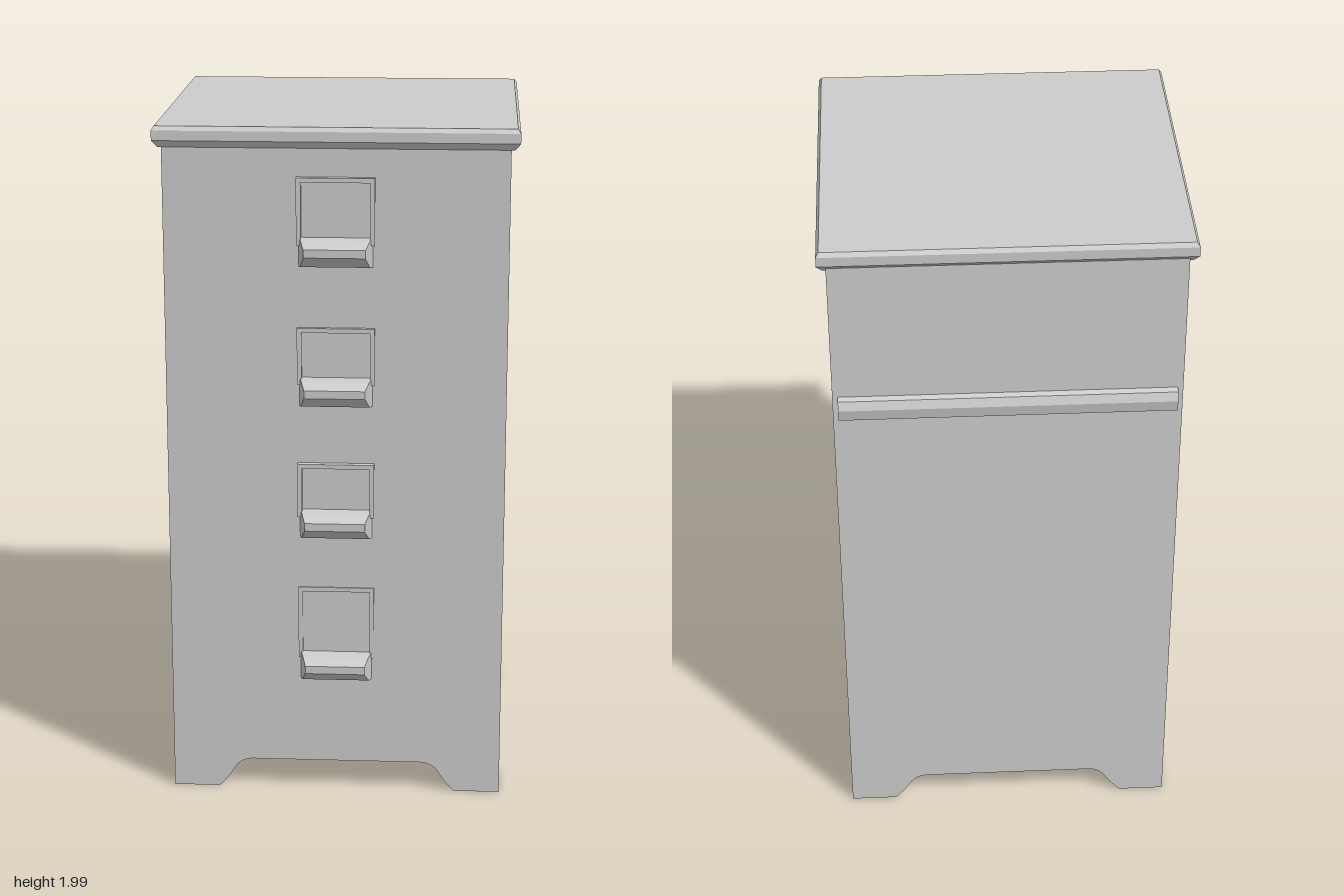
import * as THREE from 'three';

const W = 0.485, FRONT = 0.465, TOP = 1.94, WALL = 0.03;
// The back face leans out slightly towards the floor
const backZ = (y) => -0.535 + 0.045 * (y / TOP);

function shapeOf(points) {
  return new THREE.Shape(points.map(([x, y]) => new THREE.Vector2(x, y)));
}

function extrude(shape, depth) {
  return new THREE.ExtrudeGeometry(shape, { depth, bevelEnabled: false, curveSegments: 6 });
}

// Wall outline with a bracket-foot cutout along the bottom edge
function wallShape(b0, b1, t0, t1, foot) {
  const s = new THREE.Shape();
  s.moveTo(b0, 0);
  s.lineTo(b0 + foot, 0);
  s.quadraticCurveTo(b0 + foot + 0.03, 0.03, b0 + foot + 0.05, 0.065);
  s.quadraticCurveTo(b0 + foot + 0.07, 0.09, b0 + foot + 0.1, 0.09);
  s.lineTo(b1 - foot - 0.1, 0.09);
  s.quadraticCurveTo(b1 - foot - 0.07, 0.09, b1 - foot - 0.05, 0.065);
  s.quadraticCurveTo(b1 - foot - 0.03, 0.03, b1 - foot, 0);
  s.lineTo(b1, 0);
  s.lineTo(t1, TOP);
  s.lineTo(t0, TOP);
  s.closePath();
  return s;
}

export function createModel() {
  const model = new THREE.Group();
  model.name = 'filingCabinet';
  const grey = new THREE.MeshStandardMaterial({ color: 0xcccccc });
  grey.name = 'grey metal';

  const add = (name, geometry, parent = model) => {
    const mesh = new THREE.Mesh(geometry, grey);
    mesh.name = name;
    parent.add(mesh);
  };
  const box = (name, w, h, d, x, y, z) =>
    add(name, new THREE.BoxGeometry(w, h, d).translate(x, y, z));

  // Front wall
  add('frontWall', extrude(wallShape(-W, W, -W, W, 0.135), WALL).translate(0, 0, FRONT - WALL));

  // Back wall, sheared to follow the lean
  const back = extrude(wallShape(-W, W, -W, W, 0.135), WALL);
  const p = back.attributes.position;
  for (let i = 0; i < p.count; i++) p.setZ(i, p.getZ(i) + backZ(p.getY(i)));
  back.computeVertexNormals();
  add('backWall', back);

  // Side walls, each with a shallow recessed panel
  for (const [side, sx] of [['left', 1], ['right', -1]]) {
    const frame = wallShape(backZ(0), FRONT, backZ(TOP), FRONT, 0.135);
    frame.holes.push(new THREE.Path(
      [[-0.395, 0.29], [-0.38, 1.76], [0.325, 1.77], [0.315, 0.29]].map(([z, y]) => new THREE.Vector2(z, y))));
    add(side + 'Wall', extrude(frame, WALL).rotateY(-Math.PI / 2)
      .translate(sx > 0 ? W : -W + WALL, 0, 0));
    box(side + 'Panel', 0.015, 1.52, 0.76, sx * (W - 0.0185), 1.03, -0.035);
  }

  // Floor plate set well up inside the skirt
  box('floor', 2 * W - 0.04, 0.02, 0.95, 0, 0.235, -0.03);

  // Lid: overhanging slab with slanted lower lip and eased top edge
  const lidLayer = (y0, y1, in0, in1) => {
    const g = new THREE.BoxGeometry(1.02, y1 - y0, 0.98).translate(0, (y0 + y1) / 2, -0.007);
    const q = g.attributes.position;
    for (let i = 0; i < q.count; i++) {
      const inset = q.getY(i) > (y0 + y1) / 2 ? in1 : in0;
      q.setX(i, q.getX(i) - Math.sign(q.getX(i)) * inset);
      q.setZ(i, q.getZ(i) - Math.sign(q.getZ(i)) * inset);
    }
    g.computeVertexNormals();
    return g;
  };
  add('lidLip', lidLayer(1.93, 1.95, 0.015, 0));
  add('lidSlab', lidLayer(1.95, 1.978, 0, 0));
  add('lidTop', lidLayer(1.978, 1.99, 0, 0.008));

  // Rail across the back
  const railY = 1.49;
  const rail = shapeOf([[0.01, -0.04], [0.01, 0.04], [-0.014, 0.03], [-0.024, 0.005], [-0.018, -0.03]]);
  add('backRail', extrude(rail, 0.94).rotateY(-Math.PI / 2).translate(0.47, railY, backZ(railY)));

  // Four drawer fittings: label holder above a cup pull (pull height, holder top, holder depth)
  const fittings = [[1.64, 1.85, 0.02], [1.235, 1.42, 0.014], [0.84, 1.02, 0.02], [0.4, 0.64, 0.006]];
  fittings.forEach(([y, labelTop, depth], i) => {
    const g = new THREE.Group();
    g.name = 'drawerFitting' + (i + 1);
    model.add(g);

    const low = y + 0.02;
    const holder = shapeOf([[-0.11, low], [0.11, low], [0.11, labelTop], [-0.11, labelTop]]);
    holder.holes.push(new THREE.Path(
      [[-0.097, low + 0.015], [-0.097, labelTop - 0.013], [0.097, labelTop - 0.013], [0.097, low + 0.015]]
        .map(([a, b]) => new THREE.Vector2(a, b))));
    add('labelHolder', extrude(holder, depth).translate(0, 0, FRONT - 0.002), g);

    // Pull narrows towards its outer lip
    const pull = extrude(shapeOf([[0, -0.045], [0.03, -0.04], [0.072, -0.005],
      [0.072, 0.018], [0.04, 0.033], [0, 0.04]]), 0.21)
      .rotateY(-Math.PI / 2).translate(0.105, y, FRONT - 0.004);
    const q = pull.attributes.position;
    for (let k = 0; k < q.count; k++) {
      q.setX(k, q.getX(k) * (1 - 2.6 * Math.max(0, q.getZ(k) - FRONT)));
    }
    pull.computeVertexNormals();
    add('cupPull', pull, g);
  });

  return model;
}
